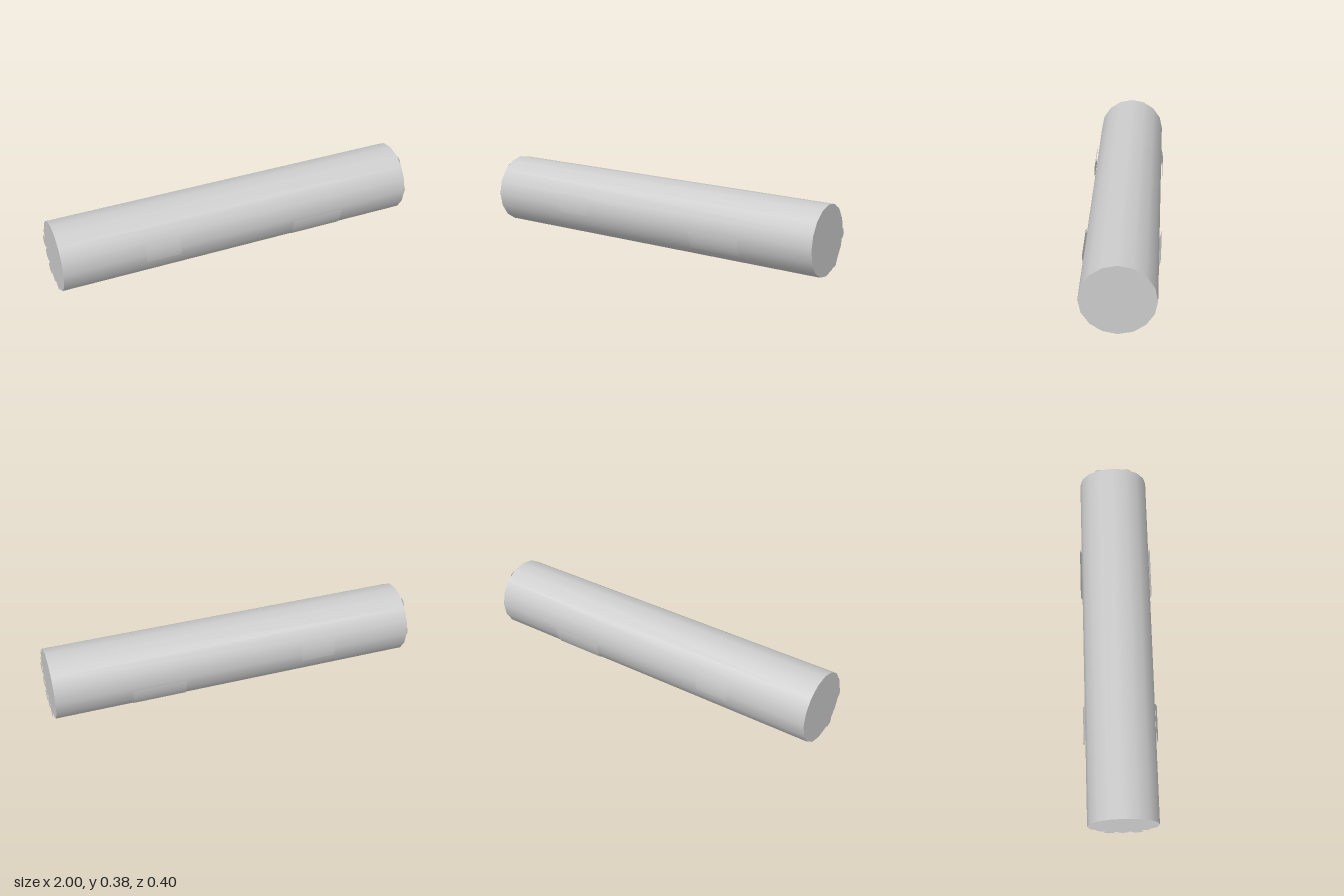
import * as THREE from 'three';

const R = 0.188;          // body radius
const HALF = 0.99;        // half body length
const PANEL_R = 0.198;    // radius of the floating side panels

const grey = new THREE.MeshStandardMaterial({ color: 0xcccccc, side: THREE.DoubleSide });
grey.name = 'light grey';

export function createModel() {
  const model = new THREE.Group();
  model.name = 'cylinderModule';

  function add(name, geometry, x = 0, y = R, z = 0) {
    const mesh = new THREE.Mesh(geometry, grey);
    mesh.name = name;
    mesh.position.set(x, y, z);
    model.add(mesh);
    return mesh;
  }

  // Smooth sixteen-sided body lying along x
  add('body', new THREE.CylinderGeometry(R, R, HALF * 2, 16).rotateZ(Math.PI / 2));

  // Curved side panels, mirrored front and back: x range and angle range above the horizontal
  const panels = [
    { name: 'shortPanel', x0: -0.55, x1: -0.36, a0: -11, a1: 20 },
    { name: 'longPanel', x0: 0.295, x1: 0.585, a0: -34, a1: -2.5 },
  ];
  for (const { name, x0, x1, a0, a1 } of panels) {
    const span = THREE.MathUtils.degToRad(a1 - a0);
    const starts = { Front: a0, Back: 180 - a1 };
    for (const [side, start] of Object.entries(starts)) {
      const panel = new THREE.CylinderGeometry(
        PANEL_R, PANEL_R, x1 - x0, 4, 1, true, THREE.MathUtils.degToRad(start), span);
      add(name + side, panel.rotateZ(Math.PI / 2), (x0 + x1) / 2);
    }
  }

  // Nineteen octagonal discs in a hexagonal pattern just off each end
  const rows = [3, 4, 5, 4, 3];
  for (const s of [-1, 1]) {
    const disc = new THREE.CircleGeometry(0.0325, 8).rotateY(s * Math.PI / 2);
    rows.forEach((count, r) => {
      for (let i = 0; i < count; i++) {
        add('endDisc', disc, s, R + (r - 2) * 0.0643, (i - (count - 1) / 2) * 0.0735);
      }
    });
  }
  return model;
}
